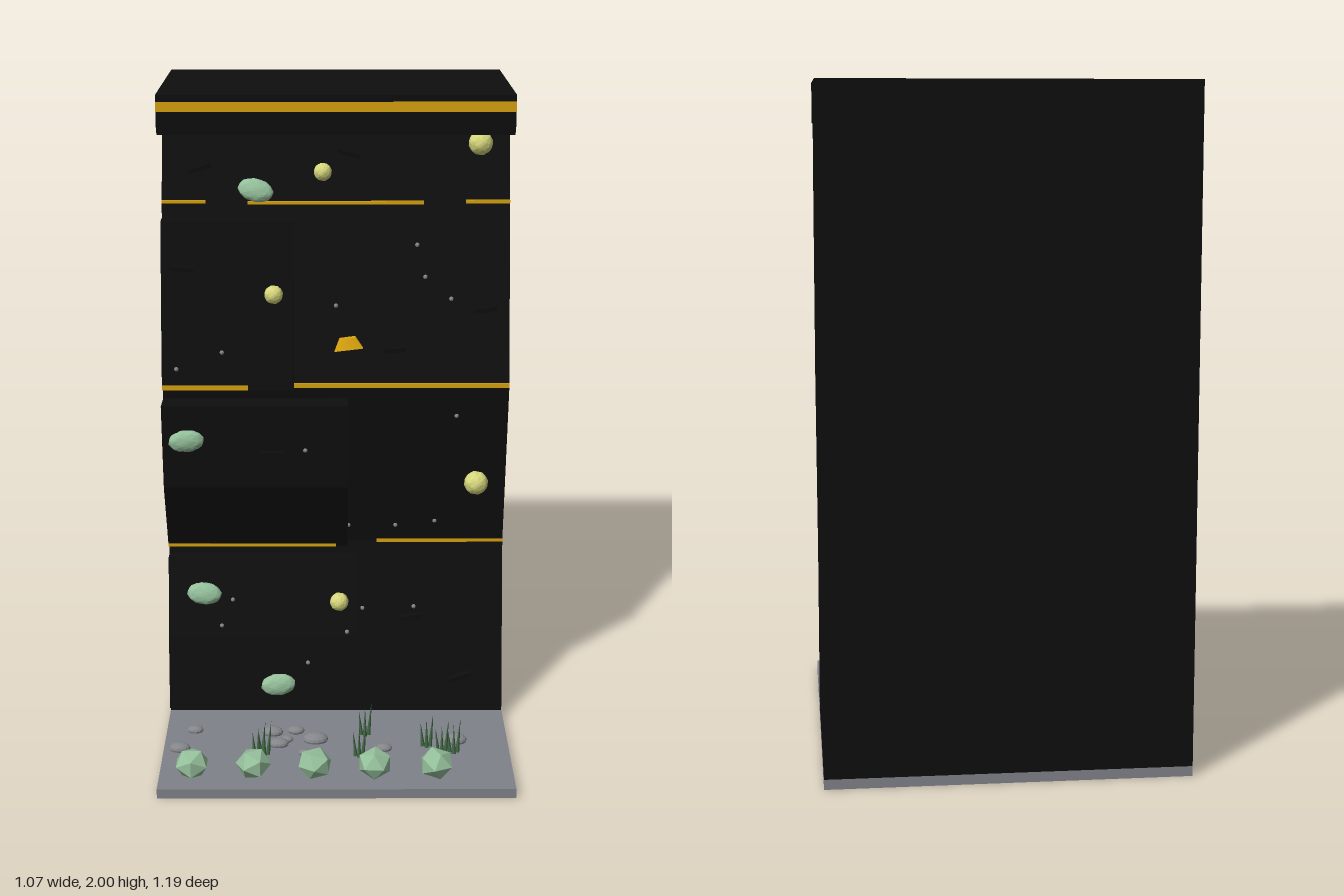
import * as THREE from 'three';

const mat = (name, color) => {
  const m = new THREE.MeshStandardMaterial({ color });
  m.name = name;
  return m;
};

export function createModel() {
  const root = new THREE.Group();
  root.name = 'climbingWall';
  const black = mat('black rock', 0x0e0e0e);
  const grey = mat('grey floor', 0x80828a);
  const stone = mat('stone grey', 0x84868a);
  const gold = mat('gold trim', 0xd9a30f);
  const sage = mat('sage green', 0x94bf9a);
  const yellow = mat('pale yellow', 0xd6d67c);
  const grassGreen = mat('grass green', 0x3f6442);
  [sage, yellow, stone].forEach((m) => { m.flatShading = true; });

  const W = 0.535;
  const add = (name, geo, m, x = 0, y = 0, z = 0) => {
    const mesh = new THREE.Mesh(geo, m);
    mesh.name = name;
    mesh.position.set(x, y, z);
    root.add(mesh);
    return mesh;
  };
  const box = (name, m, x0, x1, y0, y1, z0, z1) =>
    add(name, new THREE.BoxGeometry(x1 - x0, y1 - y0, z1 - z0), m,
      (x0 + x1) / 2, (y0 + y1) / 2, (z0 + z1) / 2);

  // Side profile of [z, y] points, extruded along x
  const slab = (name, m, x0, x1, pts) => {
    const shape = new THREE.Shape(pts.map(([z, y]) => new THREE.Vector2(-z, y)));
    const geo = new THREE.ExtrudeGeometry(shape, { depth: x1 - x0, bevelEnabled: false });
    geo.rotateY(Math.PI / 2);
    return add(name, geo, m, x0, 0, 0);
  };

  // Height along a front profile
  const depthAt = (pts, y) => {
    for (let i = 1; i < pts.length; i++) {
      const [z0, y0] = pts[i - 1], [z1, y1] = pts[i];
      if (y <= y1) return z0 + (z1 - z0) * Math.max(0, (y - y0) / (y1 - y0));
    }
    return pts[pts.length - 1][0];
  };

  // Floor and main wall
  box('floor', grey, -W, W, 0, 0.03, -0.595, 0.595);
  const front = [[0.08, 0.03], [-0.05, 0.57], [0.03, 1.11], [-0.12, 1.66], [-0.22, 1.93]];
  slab('wall', black, -W, W, [[-0.595, 0.03], ...front, [-0.27, 1.94], [-0.595, 1.94]]);

  // Raised panels: x range and front profile
  const panels = [
    { x0: -W, x1: 0.065, pts: [[0.105, 0.05], [0.07, 0.285], [0, 0.53]] },
    { x0: -W, x1: 0.037, pts: [[-0.01, 0.565], [0.09, 0.8], [0.11, 1.07]] },
    { x0: -W, x1: -0.13, pts: [[0.055, 1.105], [0.042, 1.19], [-0.055, 1.61]] },
    { x0: -0.38, x1: 0.33, pts: [[-0.1, 1.645], [-0.21, 1.925]] },
  ];
  panels.forEach(({ x0, x1, pts }, i) => slab('panel' + (i + 1), black, x0, x1,
    [[-0.3, pts[0][1]], ...pts, [-0.3, pts[pts.length - 1][1]]]));

  const surfaceZ = (x, y) => {
    let z = depthAt(front, y);
    for (const { x0, x1, pts } of panels) {
      if (x > x0 && x < x1 && y >= pts[0][1] && y <= pts[pts.length - 1][1]) {
        z = Math.max(z, depthAt(pts, y));
      }
    }
    return z;
  };

  // Overhanging cap with lip
  box('cap', black, -W, W, 1.94, 2, -0.595, 0);
  box('capLip', black, -W, W, 1.9, 1.94, -0.085, 0);
  box('capLipUnderside', black, -W, W, 1.88, 1.9, -0.075, -0.01);
  box('capTrim', gold, -W, W, 1.95, 1.98, -0.004, 0.003);

  // Gold lines between the panels: [x0, x1, y, z]
  [[-W, 0, 0.57, -0.005], [0.13, W, 0.57, -0.045],
    [-W, -0.27, 1.113, 0.058], [-0.13, W, 1.113, 0.033],
    [-W, -0.4, 1.658, -0.113], [-0.27, 0.27, 1.658, -0.098], [0.4, W, 1.658, -0.113],
  ].forEach(([x0, x1, y, z]) => {
    const h = y > 1 && y < 1.2 ? 0.007 : 0.005;
    box('goldLine', gold, x0, x1, y - h, y + h, z - 0.008, z);
  });

  // Knobbly ball shared by the holds
  const knobbly = (detail) => {
    const geo = new THREE.IcosahedronGeometry(1, detail);
    const p = geo.attributes.position, v = new THREE.Vector3();
    for (let i = 0; i < p.count; i++) {
      v.fromBufferAttribute(p, i);
      v.multiplyScalar(0.97 + 0.05 * Math.sin(v.x * 17) * Math.sin(v.y * 19) * Math.cos(v.z * 13));
      p.setXYZ(i, v.x, v.y, v.z);
    }
    geo.computeVertexNormals();
    return geo;
  };
  const knob = knobbly(4);

  // Round holds: [x, y, z, radius]
  [[0.445, 1.83, -0.17, 0.038], [-0.04, 1.755, -0.09, 0.028], [-0.19, 1.4, 0.025, 0.029],
    [0.44, 0.79, 0.02, 0.038], [0.01, 0.4, 0.055, 0.03],
  ].forEach(([x, y, z, r]) => add('roundHold', knob, yellow, x, y, z).scale.setScalar(r));

  // Oval holds: [x, y, z, tilt, lean]
  [[-0.245, 1.7, -0.085, -0.25, -0.35], [-0.46, 0.96, 0.113, 0.1, 0.08],
    [-0.42, 0.425, 0.045, -0.1, -0.28], [-0.185, 0.135, 0.108, 0.1, -0.15],
  ].forEach(([x, y, z, tilt, lean]) => {
    const hold = add('ovalHold', knob, sage, x, y, z);
    hold.scale.set(0.056, 0.036, 0.022);
    hold.rotation.set(lean, 0, tilt);
  });

  // Gold wedge hold
  const wedge = new THREE.CylinderGeometry(0.032, 0.056, 0.035, 4, 1);
  wedge.rotateY(Math.PI / 4);
  wedge.scale(1.1, 1, 0.5);
  add('wedgeHold', wedge, gold, 0.037, 1.24, 0.0).rotation.set(0, 0, 0.12);

  // Dark edge holds: [x, y, tilt]
  [[-0.42, 1.755, 0.3], [-0.47, 1.47, -0.1], [0.46, 1.34, 0.15], [0.18, 1.22, 0.1],
    [-0.2, 0.915, 0], [0.04, 1.8, -0.3], [0.24, 0.33, 0.15], [0.4, 0.14, 0.3],
  ].forEach(([x, y, tilt]) => {
    add('edgeHold', new THREE.BoxGeometry(0.07, 0.014, 0.025), black, x, y,
      surfaceZ(x, y) + 0.005).rotation.z = tilt;
  });

  // Bolts
  const bolt = new THREE.SphereGeometry(0.007, 8, 6);
  [[0.25, 1.53], [0.275, 1.435], [0.355, 1.37], [0, 1.35], [-0.35, 1.22], [-0.49, 1.17],
    [0.375, 1.01], [-0.095, 0.925], [0.04, 0.625], [0.19, 0.625], [0.315, 0.64],
    [-0.33, 0.4], [-0.365, 0.32], [0.25, 0.36], [0.085, 0.355], [0.035, 0.3], [-0.09, 0.2],
  ].forEach(([x, y]) => add('bolt', bolt, stone, x, y, surfaceZ(x, y)));

  // Faceted shrubs along the front
  const shrub = new THREE.IcosahedronGeometry(0.054, 0);
  [-0.435, -0.25, -0.065, 0.115, 0.3].forEach((x, i) => {
    const s = add('shrub', shrub, sage, x, 0.075, 0.517);
    s.rotation.y = i * 0.5;
    s.scale.y = 0.88;
  });

  // Pebbles: [x, z, radius]
  const pebble = new THREE.SphereGeometry(1, 14, 8);
  [[-0.445, 0.225, 0.026], [-0.485, 0.345, 0.033], [-0.2, 0.24, 0.033], [-0.127, 0.23, 0.027],
    [-0.155, 0.29, 0.021], [-0.18, 0.317, 0.032], [-0.065, 0.287, 0.04], [-0.097, 0.377, 0.021],
    [0.147, 0.347, 0.026], [0.37, 0.293, 0.038],
  ].forEach(([x, z, r]) => {
    add('pebble', pebble, stone, x, 0.036, z).scale.set(r, r * 0.5, r * 0.75);
  });

  // Grass tufts: [x, z]
  const blade = new THREE.ConeGeometry(0.007, 0.095, 5);
  blade.translate(0, 0.0475, 0);
  [[-0.24, 0.385], [-0.222, 0.378], [0.09, 0.25], [0.28, 0.325], [0.325, 0.37],
    [0.362, 0.365], [0.07, 0.388],
  ].forEach(([x, z]) => {
    for (let k = 0; k < 3; k++) {
      const b = add('grassBlade', blade, grassGreen, x + (k - 1) * 0.011, 0.03, z + (k % 2) * 0.01);
      b.rotation.set(-0.25, 0, (1 - k) * 0.1);
      b.scale.y = 0.8 + 0.15 * k;
    }
  });

  return root;
}
